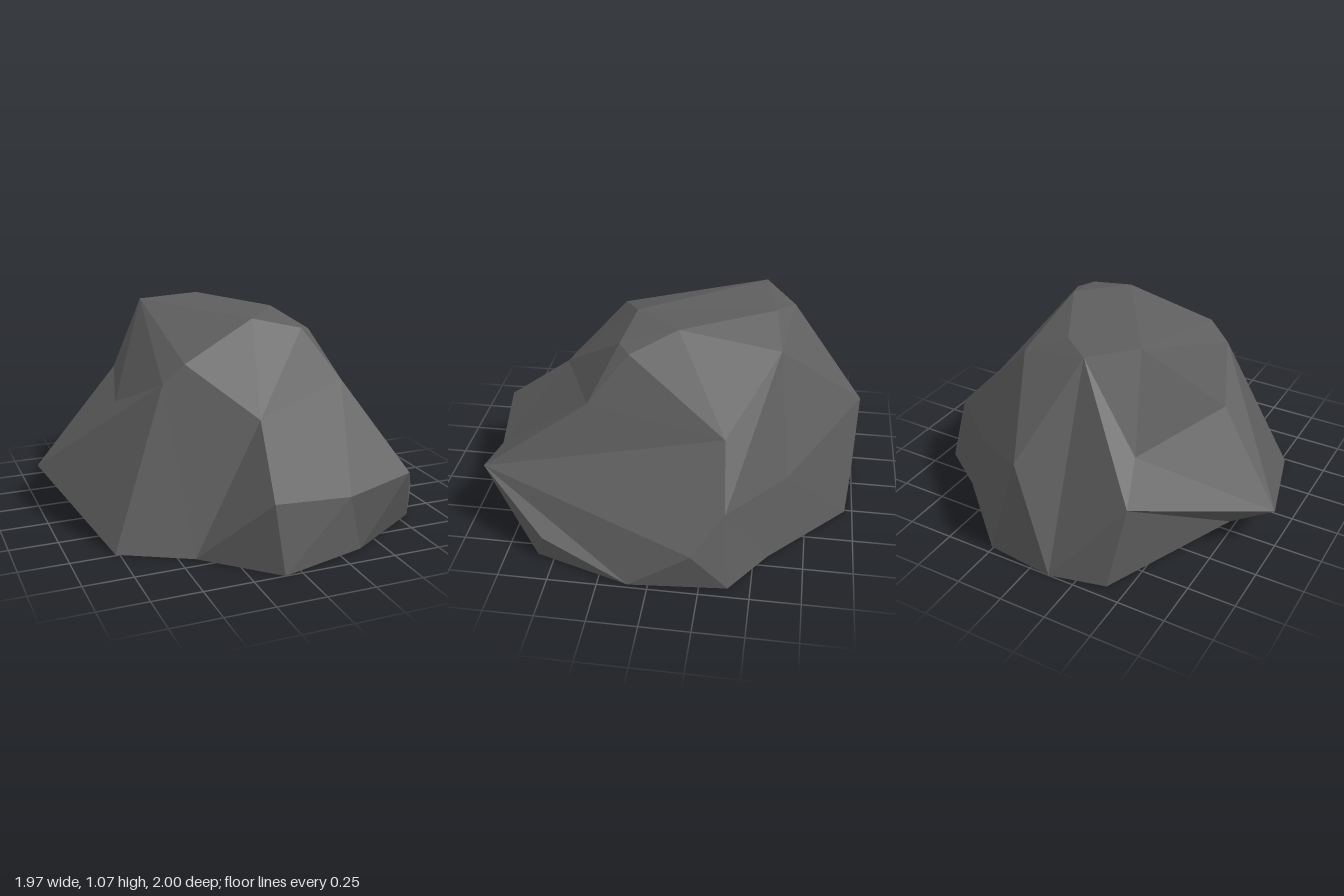
import * as THREE from 'three';

// Corner points of the boulder, by height
const ground = {
  B: [-0.77, 0, 0.49], C: [-0.42, 0, 0.68], E: [-0.09, 0, 1.0], V: [0.38, 0, 0.87],
  W: [0.82, 0, 0.59], I: [0.98, 0, 0.1], K: [0.94, 0, -0.39], M: [0.68, 0, -0.57],
  O: [0.26, 0, -0.96], Q: [-0.11, 0, -1.0], r: [-0.4, 0, -0.93], S: [-0.72, 0, -0.18],
  Z: [0, 0, 0],
};
const flanks = {
  A: [-0.99, 0.23, -0.27], D: [-0.13, 0.35, 0.96], F: [0.3, 0.3, 0.9], G: [0.62, 0.38, 0.9],
  H: [0.86, 0.14, 0.55], J: [0.98, 0.21, -0.21], L: [0.85, 0.38, -0.36], N: [0.51, 0.38, -0.64],
  P: [0.06, 0.6, -0.99], R: [-0.48, 0.45, -0.87],
};
const crown = {
  a: [-0.33, 1.07, -0.46], b: [0.03, 1.07, -0.53], c: [-0.11, 1.04, -0.62], d: [0.26, 0.96, -0.57],
  e: [0.29, 1.06, -0.06], f: [0.08, 1.05, 0.18], g: [0.34, 0.99, 0.23], h: [0.41, 0.97, 0.17],
  i: [-0.34, 0.88, 0.32], j: [-0.45, 0.78, 0.3], k: [-0.6, 0.61, -0.05], l: [-0.43, 0.63, -0.7],
  U: [-0.05, 0.64, 0.6], X: [0.6, 0.64, -0.33], Y: [0.51, 0.73, 0.37],
};

// Each fan is a hub corner followed by its neighbours in order
const fans = [
  'acbfijklc', 'edbfgh', 'cbdPQRl',      // crown
  'UfgYFDCjif', 'ECDFV', 'jBC',          // front
  'XdehYGJLd', 'GYFVWHIJ', 'Yhg', 'WHI', // left flank
  'KIJLM', 'NLMOPdL', 'QPO', 'QRr',      // back
  'AklRSBjk', 'RrS',                     // right flank
  'ZEVWIKMOQrSBCE',                      // underside
];

function buildFacets() {
  const points = {};
  for (const set of [ground, flanks, crown]) {
    for (const key in set) points[key] = new THREE.Vector3(...set[key]);
  }
  const core = new THREE.Vector3(0, 0.4, 0);
  const corners = [];
  for (const fan of fans) {
    for (let n = 1; n < fan.length - 1; n++) {
      const tri = [points[fan[0]], points[fan[n]], points[fan[n + 1]]];
      // turn every facet away from the core
      const facet = new THREE.Triangle(...tri);
      const normal = facet.getNormal(new THREE.Vector3());
      const outward = facet.getMidpoint(new THREE.Vector3()).sub(core);
      if (normal.dot(outward) < 0) tri.reverse();
      corners.push(...tri);
    }
  }
  const geometry = new THREE.BufferGeometry().setFromPoints(corners);
  geometry.computeVertexNormals(); // unshared corners give flat facets
  return geometry;
}

export function createModel() {
  const stone = new THREE.MeshStandardMaterial({ color: 0x5e5e5e });
  stone.name = 'stone grey';

  const boulder = new THREE.Mesh(buildFacets(), stone);
  boulder.name = 'boulder';

  const model = new THREE.Group();
  model.name = 'rock';
  model.add(boulder);
  return model;
}
